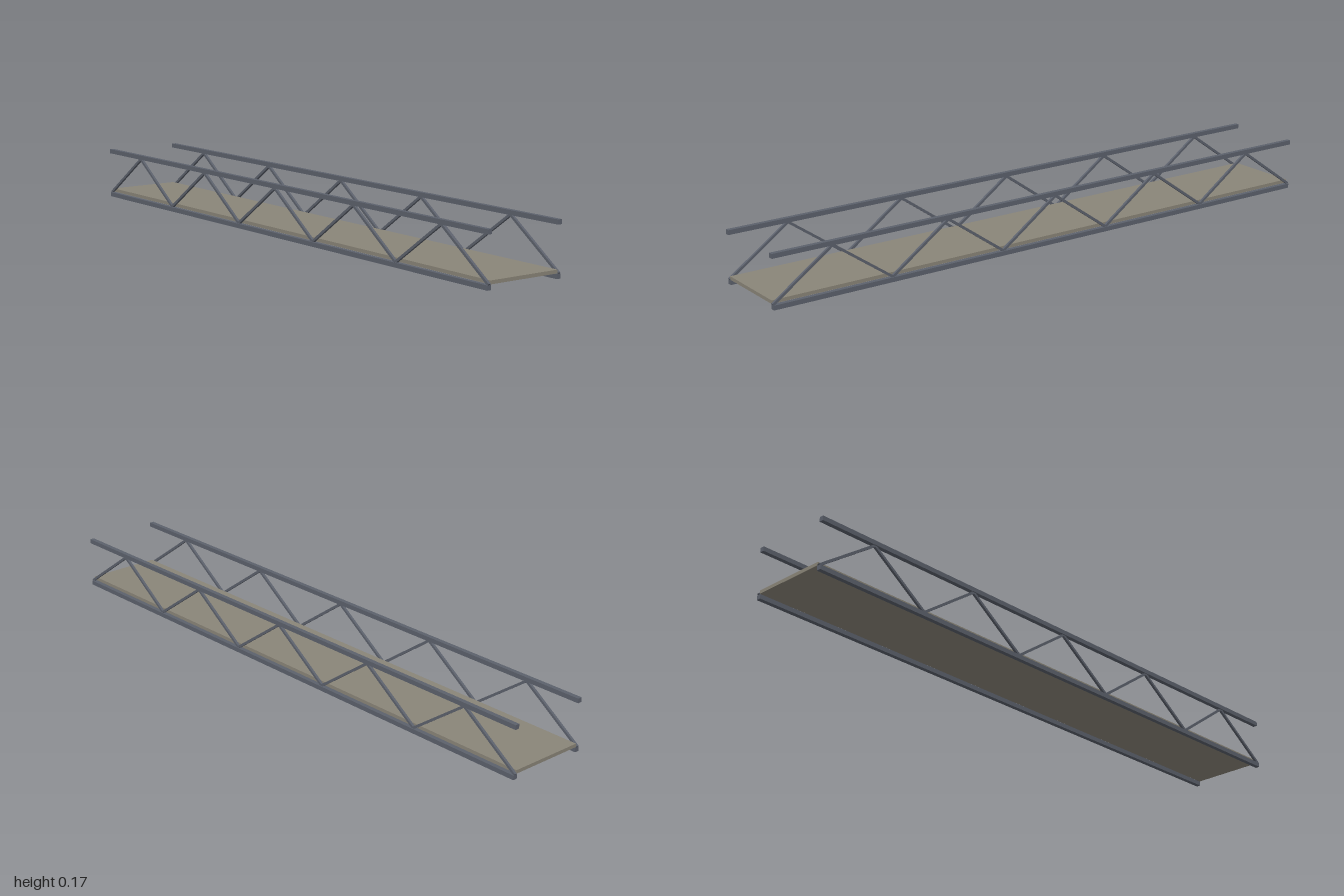
import * as THREE from 'three';

export function createModel() {
  const bridge = new THREE.Group();
  bridge.name = 'footbridge';
  const steel = new THREE.MeshStandardMaterial({ color: 0x5c616c });
  steel.name = 'steel';
  const decking = new THREE.MeshStandardMaterial({ color: 0x8a8578 });
  decking.name = 'decking';

  const addBox = (parent, name, material, size, position) => {
    const mesh = new THREE.Mesh(new THREE.BoxGeometry(...size), material);
    mesh.name = name;
    mesh.position.set(...position);
    parent.add(mesh);
    return mesh;
  };

  const length = 1.996, rail = 0.0145, brace = 0.008;
  const bays = 5, bayLength = 2 / bays;
  const low = 0.015, high = 0.155;

  // Walking deck between the trusses
  addBox(bridge, 'deck', decking, [0.25, 0.011, length], [0, 0.0215, 0]);

  // One truss on each side: two chords and zigzag braces
  for (const side of [-1, 1]) {
    const truss = new THREE.Group();
    truss.name = side > 0 ? 'leftTruss' : 'rightTruss';
    truss.position.x = side * 0.13;
    bridge.add(truss);
    addBox(truss, 'bottomChord', steel, [rail, rail, length], [0, rail / 2, 0]);
    addBox(truss, 'topChord', steel, [rail, rail, length], [0, 0.1615, 0]);

    const run = bayLength / 2, rise = high - low;
    for (let i = 0; i < bays * 2; i++) {
      const diagonal = addBox(truss, 'diagonalBrace', steel,
        [brace, brace, Math.hypot(run, rise)],
        [0, (low + high) / 2, -0.998 + (i + 0.5) * 0.1996]);
      diagonal.rotation.x = (i % 2 ? 1 : -1) * Math.atan2(rise, run);
    }
  }
  return bridge;
}
